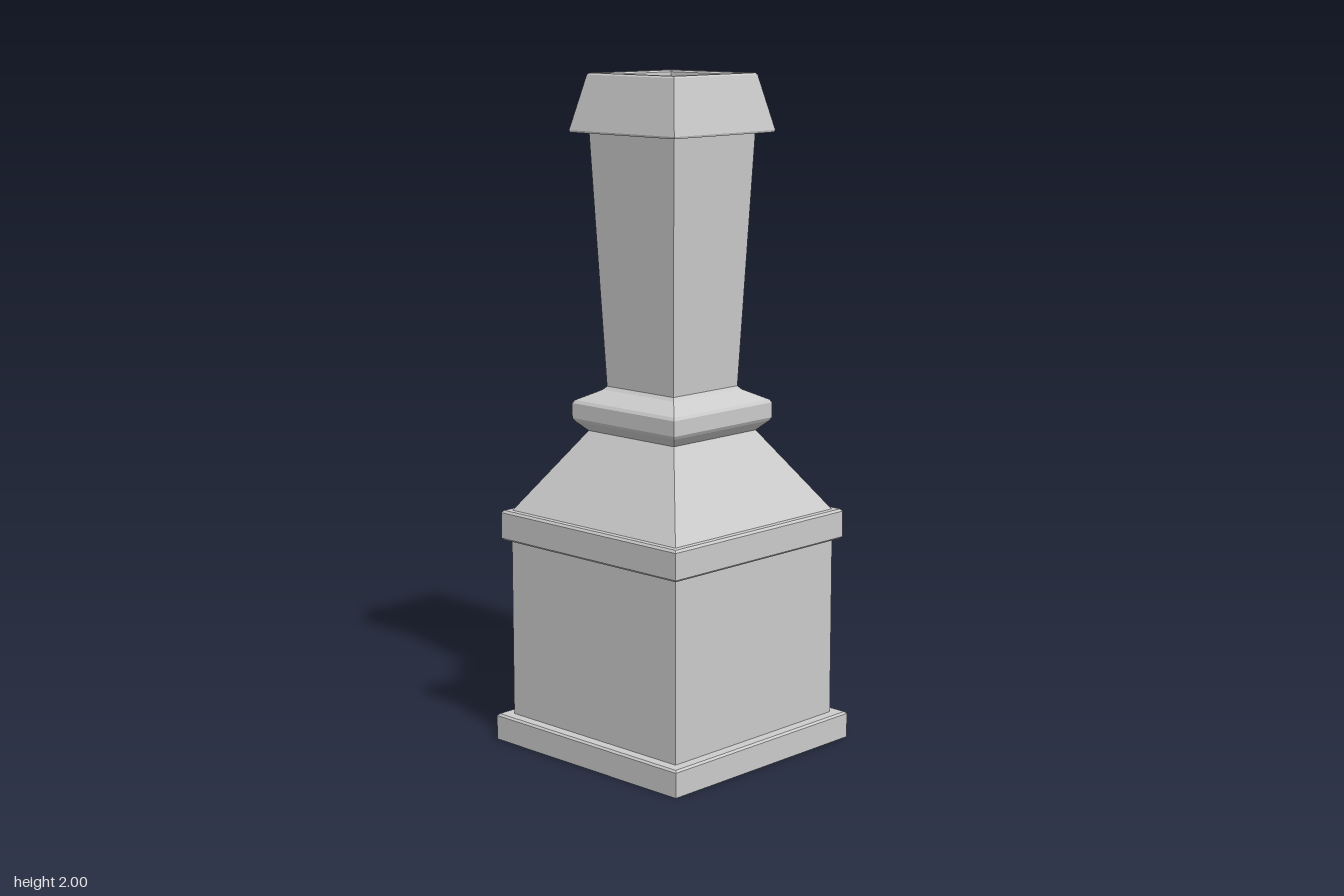
import * as THREE from 'three';

const material = new THREE.MeshStandardMaterial({
  color: 0xcccccc, flatShading: true, side: THREE.DoubleSide,
});

// Square shell from [half width, height] pairs, listed from bottom to top
function squareShell(name, profile) {
  const points = profile.map(([half, y]) => new THREE.Vector2(half * Math.SQRT2, y));
  const geometry = new THREE.LatheGeometry(points, 4, Math.PI / 4).toNonIndexed();
  geometry.computeVertexNormals();
  const mesh = new THREE.Mesh(geometry, material);
  mesh.name = name;
  return mesh;
}

// Raised plate with a bevelled rim, facing -x
function makeHatch() {
  const w = 0.18, h = 0.1, bevel = 0.01;
  const shape = new THREE.Shape();
  shape.moveTo(-w, -h).lineTo(w, -h).lineTo(w, h).lineTo(-w, h).closePath();
  const geometry = new THREE.ExtrudeGeometry(shape, {
    depth: 0.02, bevelSize: bevel, bevelThickness: bevel, bevelSegments: 2,
  });
  const mesh = new THREE.Mesh(geometry, material);
  mesh.name = 'hatch';
  mesh.rotation.y = -Math.PI / 2;
  mesh.position.set(-0.33, 0.35, 0);
  return mesh;
}

export function createModel() {
  const group = new THREE.Group();
  group.name = 'chimney';
  const parts = {
    // Open-bottomed plinth and body
    plinth: [[0.375, 0], [0.375, 0.074], [0.369, 0.08], [0.338, 0.08]],
    body: [[0.338, 0.08], [0.338, 0.62]],
    cornice: [[0.338, 0.62], [0.354, 0.62], [0.36, 0.626], [0.36, 0.704], [0.354, 0.711], [0.336, 0.711]],
    // Sloping hood up to the neck
    hood: [[0.336, 0.711], [0.175, 0.952]],
    collar: [[0.175, 0.952], [0.203, 0.98], [0.209, 0.99], [0.209, 1.035], [0.203, 1.044], [0.145, 1.075], [0.136, 1.085]],
    // Flared stack with a wide cap
    stack: [[0.136, 1.085], [0.17, 1.83]],
    cap: [[0.17, 1.83], [0.209, 1.83], [0.211, 1.836], [0.174, 1.995], [0.169, 2], [0.146, 2], [0.141, 1.995]],
    // Tapered inner walls and floor
    flue: [[0, 1.1], [0.079, 1.1], [0.141, 1.995]],
  };
  for (const [name, profile] of Object.entries(parts)) group.add(squareShell(name, profile));
  group.add(makeHatch());
  return group;
}
